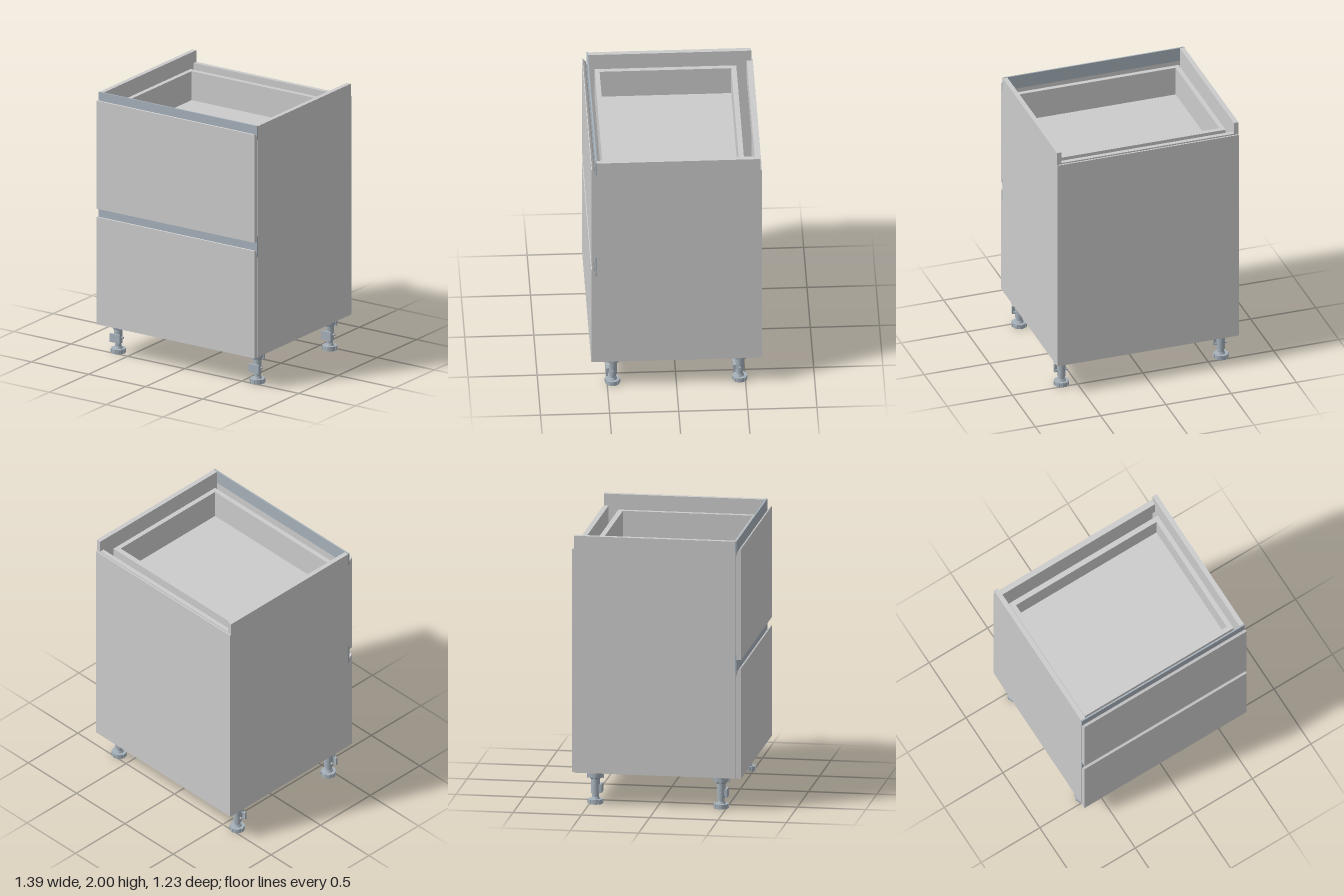
import * as THREE from 'three';

const board = new THREE.MeshStandardMaterial({ color: 0xcccccc });
const metal = new THREE.MeshStandardMaterial({ color: 0xa6b1ba });

// Box given by its min and max corners
function box(parent, name, [x0, y0, z0], [x1, y1, z1], mat = board) {
  const m = new THREE.Mesh(new THREE.BoxGeometry(x1 - x0, y1 - y0, z1 - z0), mat);
  m.position.set((x0 + x1) / 2, (y0 + y1) / 2, (z0 + z1) / 2);
  m.name = name;
  parent.add(m);
  return m;
}

// Section of [z, y] points swept along x, centred on x = 0
function sweep(parent, name, points, width, mat = board) {
  const shape = new THREE.Shape(points.map(([z, y]) => new THREE.Vector2(-z, y)));
  const geo = new THREE.ExtrudeGeometry(shape, { depth: width, bevelEnabled: false });
  geo.translate(0, 0, -width / 2).rotateY(Math.PI / 2);
  const m = new THREE.Mesh(geo, mat);
  m.name = name;
  parent.add(m);
  return m;
}

function cylinder(parent, name, r0, r1, y0, y1, sides = 24) {
  const m = new THREE.Mesh(new THREE.CylinderGeometry(r1, r0, y1 - y0, sides), metal);
  m.position.y = (y0 + y1) / 2;
  m.name = name;
  parent.add(m);
  return m;
}

// Open-topped drawer box
function drawer(name, y0, y1) {
  const g = new THREE.Group();
  g.name = name;
  const X = 0.635, x = 0.6, Z0 = -0.495, z0 = -0.457, z1 = 0.495, Z1 = 0.53;
  box(g, 'drawerFloor', [-x, y0, z0], [x, y0 + 0.03, z1]);
  for (const s of [-1, 1]) {
    box(g, 'drawerSide', [s > 0 ? x : -X, y0, Z0], [s > 0 ? X : -x, y1, Z1]);
  }
  box(g, 'drawerBack', [-x, y0, Z0], [x, y1, z0]);
  box(g, 'drawerInnerFront', [-x, y0, z1], [x, y1, Z1]);
  return g;
}

// Adjustable leg with mounting collar, stem, plinth clip and notched foot
function leg() {
  const g = new THREE.Group();
  g.name = 'leg';
  cylinder(g, 'footDisc', 0.053, 0.053, 0, 0.034);
  for (let i = 0; i < 8; i++) {
    const a = (i / 8) * Math.PI * 2;
    const rib = box(g, 'footGrip', [-0.009, 0.002, -0.004], [0.009, 0.032, 0.004], metal);
    rib.position.set(Math.sin(a) * 0.052, 0.017, Math.cos(a) * 0.052);
    rib.rotation.y = a;
  }
  cylinder(g, 'footNeck', 0.032, 0.026, 0.034, 0.05);
  cylinder(g, 'threadedStem', 0.024, 0.024, 0.04, 0.09);
  cylinder(g, 'legTube', 0.031, 0.031, 0.075, 0.2);
  cylinder(g, 'collarNeck', 0.036, 0.05, 0.185, 0.2);
  cylinder(g, 'mountCollar', 0.055, 0.058, 0.198, 0.238);
  for (let i = 0; i < 4; i++) {
    const a = (i / 4) * Math.PI * 2;
    const rib = box(g, 'collarRib', [-0.007, 0.19, -0.01], [0.007, 0.232, 0.01], metal);
    rib.position.x = Math.sin(a) * 0.05;
    rib.position.z = Math.cos(a) * 0.05;
    rib.rotation.y = a;
  }
  box(g, 'plinthClipPlate', [-0.042, 0.085, 0.034], [0.042, 0.148, 0.05], metal);
  box(g, 'plinthClipBlock', [-0.018, 0.095, 0.02], [0.018, 0.138, 0.036], metal);
  const pin = cylinder(g, 'tubePin', 0.008, 0.008, 0, 0.09, 12);
  pin.rotation.z = Math.PI / 2;
  pin.position.y = 0.117;
  return g;
}

export function createModel() {
  const model = new THREE.Group();
  model.name = 'drawerCabinet';

  // Carcass
  const carcass = new THREE.Group();
  carcass.name = 'carcass';
  model.add(carcass);
  for (const s of [-1, 1]) {
    const a = s * 0.66, b = s * 0.695;
    box(carcass, 'sidePanel', [Math.min(a, b), 0.24, -0.605], [Math.max(a, b), 1.998, 0.576]);
  }
  box(carcass, 'bottomPanel', [-0.66, 0.24, -0.585], [0.66, 0.275, 0.576]);
  box(carcass, 'backRail', [-0.66, 1.75, -0.605], [0.66, 1.91, -0.572]);
  box(carcass, 'backPanel', [-0.693, 0.243, -0.617], [0.693, 1.9, -0.605]);

  // Recessed grip profiles across the front
  sweep(model, 'topGripProfile', [
    [0.576, 2], [0.587, 2], [0.587, 1.895], [0.576, 1.895],
  ], 1.39, metal);
  sweep(model, 'middleGripProfile', [
    [0.576, 1.16], [0.587, 1.16], [0.587, 1.0], [0.576, 1.0],
  ], 1.39, metal);

  // Drawer fronts with a finger bevel falling towards the back of the top edge
  for (const [name, y0, y1] of [['lowerFront', 0.24, 1.06], ['upperFront', 1.12, 1.945]]) {
    sweep(model, name, [
      [0.577, y0], [0.618, y0], [0.618, y1 - 0.003], [0.613, y1],
      [0.6, y1 - 0.012], [0.589, y1 - 0.028], [0.589, y1 - 0.05], [0.577, y1 - 0.05],
    ], 1.386);
  }

  // Drawer boxes
  model.add(drawer('lowerDrawer', 0.4, 0.98));
  model.add(drawer('upperDrawer', 1.64, 1.89));

  // Four legs, clips all facing forwards
  for (const x of [-0.61, 0.61]) {
    for (const z of [-0.46, 0.46]) {
      const l = leg();
      l.position.set(x, 0, z);
      model.add(l);
    }
  }
  return model;
}
